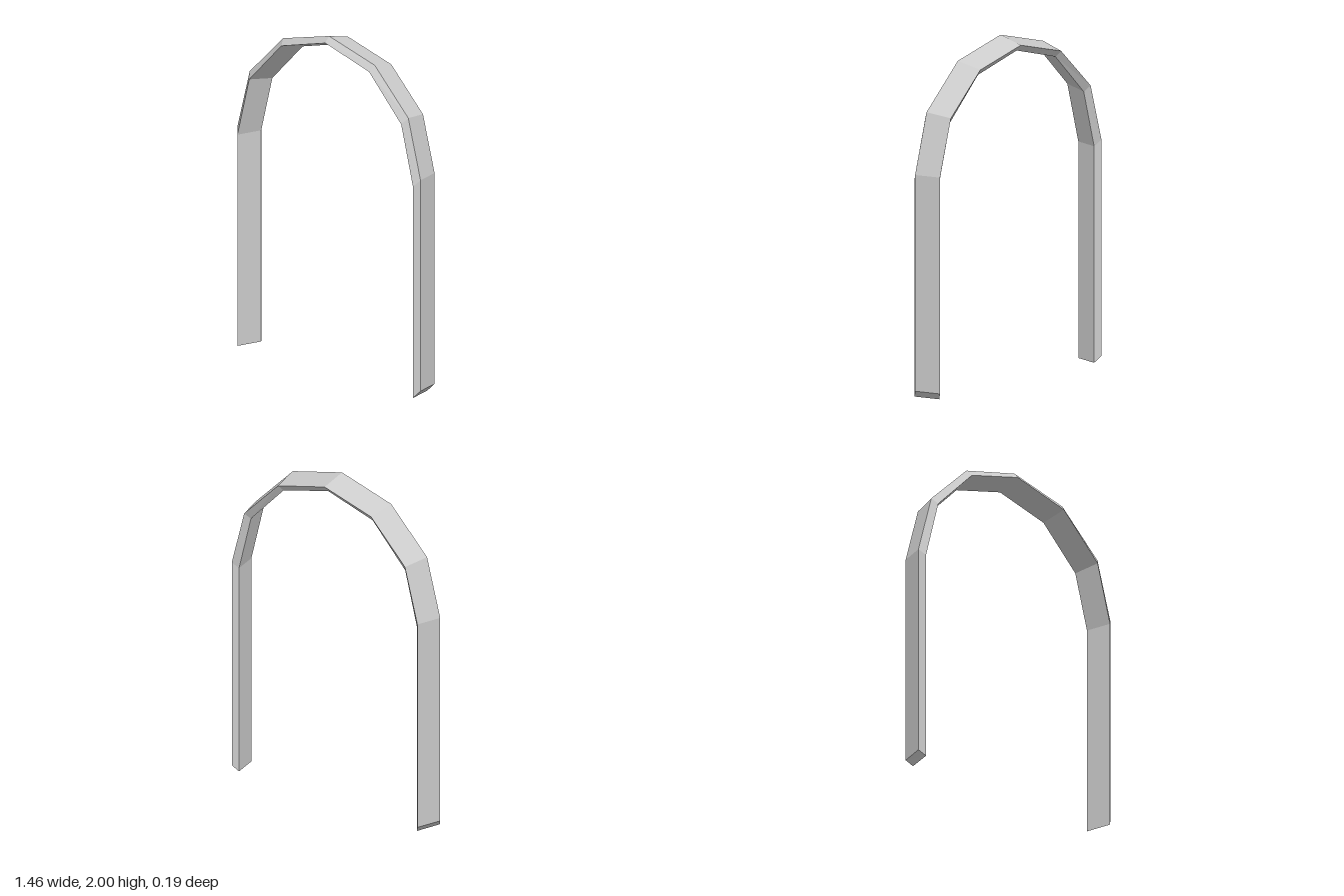
import * as THREE from 'three';

// Corners of the canted rectangular section:
// half-width, rise of the curve, springing height, foot height, depth
const corners = [
  { rx: 0.73, ry: 0.70, spring: 1.30, foot: 0.04, z: 0.062 },   // outer front
  { rx: 0.70, ry: 0.703, spring: 1.262, foot: 0, z: 0.093 },    // front ridge
  { rx: 0.662, ry: 0.664, spring: 1.262, foot: 0, z: -0.062 },  // inner back
  { rx: 0.69, ry: 0.661, spring: 1.30, foot: 0.04, z: -0.093 }, // outer back
];
const SEGMENTS = 6;

// One long edge of the arch: right foot, six-sided curve, left foot
function edgePath({ rx, ry, spring, foot, z }) {
  const points = [[rx, foot, z]];
  for (let i = 0; i <= SEGMENTS; i++) {
    const a = (i / SEGMENTS) * Math.PI;
    points.push([rx * Math.cos(a), spring + ry * Math.sin(a), z]);
  }
  points.push([-rx, foot, z]);
  return points;
}

function archGeometry() {
  const edges = corners.map(edgePath);
  const positions = [];
  const quad = (a, b, c, d) => positions.push(...a, ...b, ...c, ...a, ...c, ...d);

  // Four long faces
  const last = edges[0].length - 1;
  for (let k = 0; k < 4; k++) {
    const e = edges[k], f = edges[(k + 1) % 4];
    for (let i = 0; i < last; i++) quad(e[i], e[i + 1], f[i + 1], f[i]);
  }
  // Slanted ends of the feet
  quad(...edges.map((e) => e[0]));
  quad(...edges.map((e) => e[last]).reverse());

  const geometry = new THREE.BufferGeometry();
  geometry.setAttribute('position', new THREE.Float32BufferAttribute(positions, 3));
  geometry.computeVertexNormals();
  return geometry;
}

export function createModel() {
  const group = new THREE.Group();
  group.name = 'archTrim';
  const material = new THREE.MeshStandardMaterial({ color: 0xcccccc, flatShading: true });
  const arch = new THREE.Mesh(archGeometry(), material);
  arch.name = 'archFrame';
  group.add(arch);
  return group;
}
